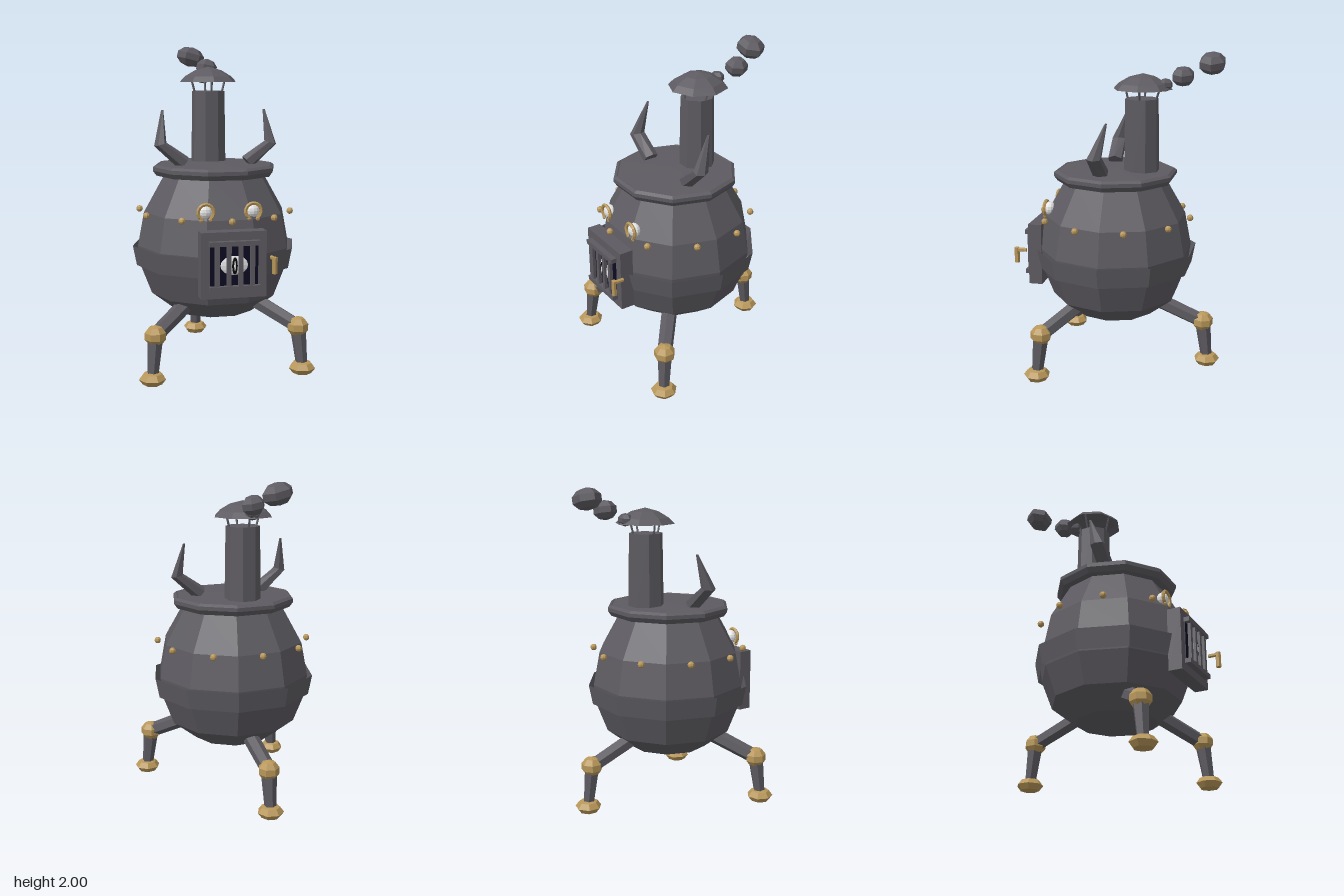
import * as THREE from 'three';

const mat = (name, color) =>
  new THREE.MeshStandardMaterial({ name, color, flatShading: true, side: THREE.DoubleSide });
const V = (x, y, z) => new THREE.Vector3(x, y, z);

export function createModel() {
  const iron = mat('iron grey', 0x5d5b61);
  const gold = mat('brass', 0xb8975a);
  const white = mat('eye white', 0xe6e6e6);
  const navy = mat('dark interior', 0x0d0b22);
  const black = mat('pupil black', 0x08080a);
  const CZ = 0.04; // centre of the pot along z

  const model = new THREE.Group();
  model.name = 'potStove';

  function add(name, geometry, material, x = 0, y = 0, z = 0, parent = model) {
    const mesh = new THREE.Mesh(geometry, material);
    mesh.name = name;
    mesh.position.set(x, y, z);
    parent.add(mesh);
    return mesh;
  }
  const box = (name, m, w, h, d, x, y, z) => add(name, new THREE.BoxGeometry(w, h, d), m, x, y, z);

  // Ten-sided turned part with a corner on each side
  function turned(name, profile) {
    const g = new THREE.LatheGeometry(profile.map(p => new THREE.Vector2(...p)), 10);
    g.rotateY(Math.PI / 10);
    return add(name, g, iron, 0, 0, CZ);
  }

  // Tapered rod between two points
  function rod(name, m, a, b, ra, rb, sides = 6) {
    const d = b.clone().sub(a);
    const mesh = add(name, new THREE.CylinderGeometry(rb, ra, d.length(), sides), m);
    mesh.position.copy(a).addScaledVector(d, 0.5);
    mesh.quaternion.setFromUnitVectors(V(0, 1, 0), d.normalize());
    return mesh;
  }

  // Faceted blob
  function blob(name, m, p, r, w = 7, h = 5, turn = 0) {
    const mesh = add(name, new THREE.SphereGeometry(1, w, h), m, ...p);
    mesh.scale.set(...r);
    mesh.rotation.y = turn;
    return mesh;
  }

  // Pot, belt and lid
  turned('potBody', [[0, 0.35], [0.25, 0.35], [0.4, 0.465], [0.47, 0.647], [0.485, 0.77],
    [0.445, 0.98], [0.315, 1.21]]);
  turned('belt', [[0.493, 0.647], [0.517, 0.77]]);
  turned('lid', [[0.3, 1.205], [0.365, 1.205], [0.387, 1.235], [0.387, 1.258], [0.368, 1.272],
    [0.362, 1.268], [0, 1.28]]);

  // Ring of rivets
  for (let i = 0; i < 10; i++) {
    const a = i * Math.PI / 5;
    blob('rivet', gold, [0.475 * Math.sin(a), 0.98, CZ + 0.475 * Math.cos(a)], [0.021, 0.021, 0.021], 8, 6);
  }

  // Firebox door with barred window
  box('door', iron, 0.39, 0.39, 0.085, 0, 0.735, 0.52);
  box('doorOpening', navy, 0.286, 0.25, 0.006, 0, 0.735, 0.565);
  for (const y of [0.604, 0.866]) box('windowRail', iron, 0.3, 0.028, 0.037, 0, y, 0.58);
  for (const x of [-0.105, -0.035, 0.035, 0.105])
    box('windowBar', iron, 0.026, 0.25, 0.02, x, 0.735, 0.583);

  // Eye behind the bars, with a slit pupil
  const peeker = blob('peekingEye', white, [0, 0.735, 0.562], [0.09, 0.06, 0.02], 12, 8);
  peeker.renderOrder = 0;
  blob('slitPupil', black, [0, 0.735, 0.582], [0.017, 0.052, 0.004], 10, 6);
  blob('pupilGlint', white, [0, 0.735, 0.585], [0.006, 0.03, 0.003], 8, 6);

  // Door handle
  rod('handleArm', gold, V(0.225, 0.772, 0.565), V(0.225, 0.772, 0.635), 0.013, 0.013);
  rod('handleGrip', gold, V(0.225, 0.688, 0.628), V(0.225, 0.785, 0.628), 0.017, 0.017);

  for (const s of [-1, 1]) {
    // Upper eyes in open brass rings
    blob('upperEye', white, [s * 0.143, 1.03, 0.43], [0.044, 0.044, 0.036], 12, 8);
    const ring = add('eyeRing', new THREE.TorusGeometry(0.047, 0.011, 5, 12, Math.PI * 1.65), gold,
      s * 0.143, 1.03, 0.455);
    ring.rotation.z = -Math.PI * 0.325;
    for (const t of [-1, 1])
      blob('ringCurl', gold, [s * 0.143 + t * 0.027, 0.985, 0.457], [0.014, 0.014, 0.01], 6, 4);
    horn(s);
  }

  // Bent horn lofted through three rings: centre, in-plane radius, depth radius
  function horn(s) {
    const rings = [
      [V(0.2, 1.282, 0.088), V(-0.03, 0.036, 0), 0.05],
      [V(0.348, 1.402, 0.093), V(-0.038, 0.01, 0), 0.048],
      [V(0.323, 1.607, 0.025), V(-0.007, 0, 0), 0.007]];
    const n = 6, pos = [], idx = [];
    for (const [c, u, w] of rings)
      for (let i = 0; i < n; i++) {
        const a = i * 2 * Math.PI / n;
        const p = c.clone().addScaledVector(u, Math.cos(a));
        pos.push(s * p.x, p.y, p.z + w * Math.sin(a));
      }
    const tri = (a, b, c) => idx.push(...(s > 0 ? [a, b, c] : [a, c, b]));
    for (let r = 0; r < 2; r++)
      for (let i = 0; i < n; i++) {
        const a = r * n + i, b = r * n + (i + 1) % n;
        tri(a, a + n, b);
        tri(b, a + n, b + n);
      }
    for (let i = 1; i < n - 1; i++) {
      tri(0, i, i + 1);
      tri(2 * n, 2 * n + i + 1, 2 * n + i);
    }
    const g = new THREE.BufferGeometry();
    g.setAttribute('position', new THREE.Float32BufferAttribute(pos, 3));
    g.setIndex(idx);
    g.computeVertexNormals();
    add('horn', g, iron);
  }

  // Three legs with brass knees and feet
  const legs = [
    [V(0.22, 0.43, 0.23), V(0.44, 0.3, 0.415), V(0.463, 0.045, 0.438)],
    [V(-0.22, 0.43, 0.23), V(-0.44, 0.3, 0.415), V(-0.463, 0.045, 0.438)],
    [V(0, 0.42, -0.24), V(0, 0.3, -0.53), V(0, 0.045, -0.56)]];
  for (const [hip, knee, foot] of legs) {
    const turn = Math.atan2(foot.x, foot.z - CZ);
    rod('upperLeg', iron, hip, knee, 0.05, 0.047);
    rod('lowerLeg', iron, foot, knee, 0.034, 0.05);
    blob('knee', gold, knee.toArray(), [0.068, 0.064, 0.068], 7, 5, turn);
    blob('foot', gold, foot.toArray(), [0.082, 0.045, 0.082], 7, 4, turn);
  }

  // Chimney with cowl on four stays
  const pipe = new THREE.CylinderGeometry(0.104, 0.111, 0.455, 8);
  pipe.rotateY(Math.PI / 8);
  add('chimney', pipe, iron, 0, 1.49, -0.125);
  const cowl = new THREE.LatheGeometry(
    [[0.183, 1.775], [0.15, 1.81], [0.085, 1.848], [0, 1.87]].map(p => new THREE.Vector2(...p)), 8);
  add('chimneyCowl', cowl, iron, 0, 0, -0.13);
  for (let i = 0; i < 4; i++) {
    const c = Math.cos(i * Math.PI / 2), s = Math.sin(i * Math.PI / 2);
    rod('cowlStay', iron, V(c * 0.088, 1.71, -0.125 + s * 0.088),
      V(c * 0.115, 1.815, -0.13 + s * 0.115), 0.007, 0.007, 4);
  }

  // Smoke puffs drifting backwards
  for (const [p, r, tilt] of [
    [[0, 1.803, -0.27], [0.05, 0.04, 0.045], 0.1],
    [[0.045, 1.862, -0.383], [0.072, 0.06, 0.073], -0.2],
    [[-0.03, 1.936, -0.547], [0.097, 0.066, 0.087], -0.25]]) {
    const puff = blob('smokePuff', iron, p, r, 6, 5);
    puff.rotation.z = tilt;
  }
  return model;
}
